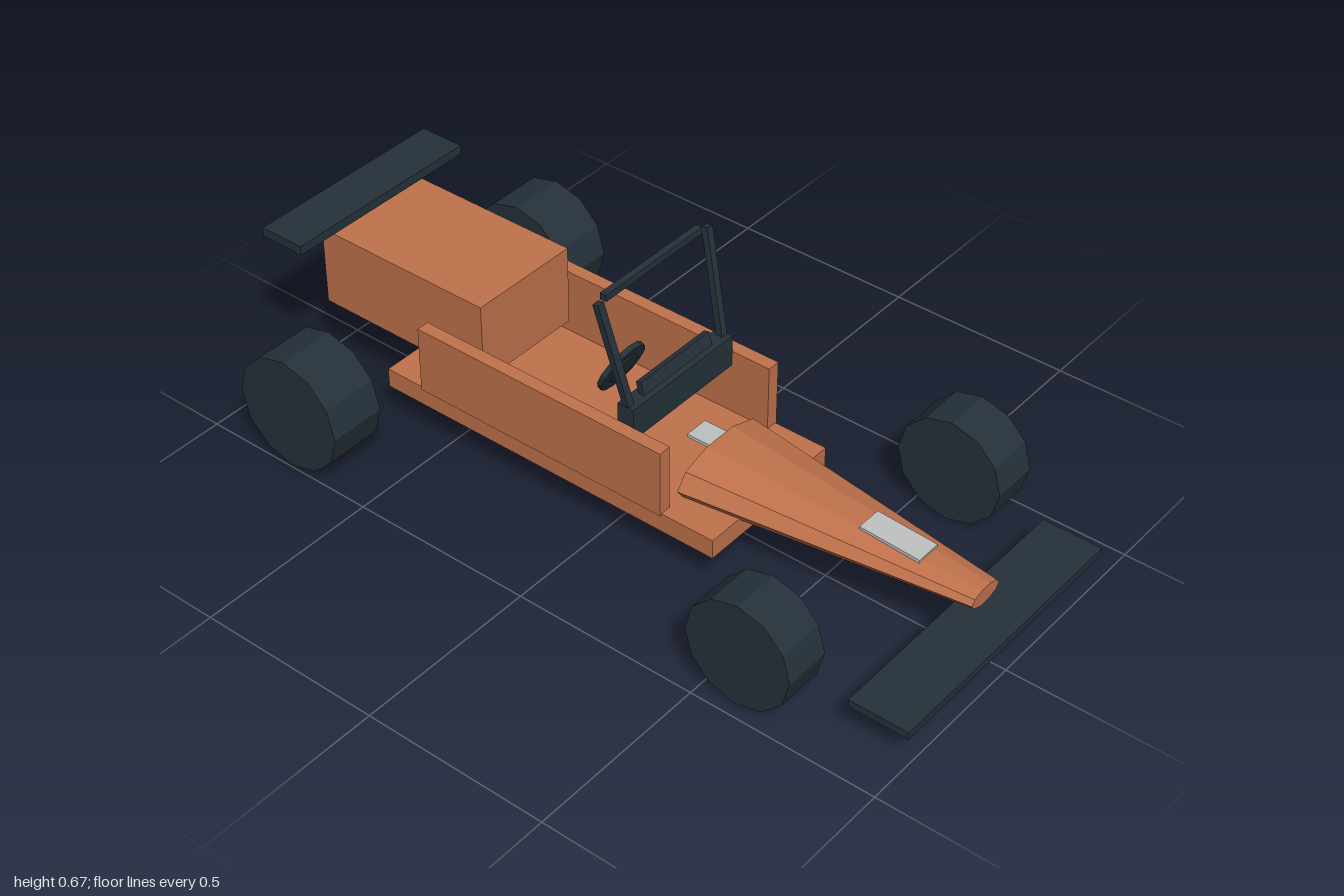
import * as THREE from 'three';

export function createModel() {
  const model = new THREE.Group();
  model.name = 'openWheelRacer';

  const paint = (name, color, flatShading = true) => {
    const m = new THREE.MeshStandardMaterial({ color, flatShading });
    m.name = name;
    return m;
  };
  const orange = paint('orange', 0xc0724c);
  const dark = paint('darkSlate', 0x25313a);
  const silver = paint('silver', 0xbfc1c1);

  const add = (name, geometry, material, x = 0, y = 0, z = 0) => {
    const mesh = new THREE.Mesh(geometry, material);
    mesh.name = name;
    mesh.position.set(x, y, z);
    model.add(mesh);
    return mesh;
  };
  // Box given by its limits on each axis
  const box = (name, material, x0, x1, y0, y1, z0, z1) =>
    add(name, new THREE.BoxGeometry(x1 - x0, y1 - y0, z1 - z0), material,
      (x0 + x1) / 2, (y0 + y1) / 2, (z0 + z1) / 2);

  // Body
  box('floor', orange, -0.215, 0.215, 0.107, 0.16, -0.675, 0.335);
  box('engineCover', orange, -0.157, 0.157, 0.217, 0.435, -0.93, -0.41);

  // Tapered ten-sided nose
  const nose = new THREE.CylinderGeometry(0.053, 0.157, 0.745, 10, 1, false, Math.PI / 2);
  nose.rotateX(Math.PI / 2).scale(1, 0.44, 1);
  add('nose', nose, orange, 0, 0.187, 0.5575);

  // Plates on top of the nose and behind it
  const nosePlate = box('nosePlate', silver, -0.035, 0.035, 0.2195, 0.2285, 0.61, 0.775);
  nosePlate.rotation.x = 0.058;
  box('cockpitPlate', silver, -0.033, 0.033, 0.236, 0.245, 0.115, 0.19);

  // Wings
  box('rearWing', dark, -0.285, 0.285, 0.45, 0.475, -1.0, -0.873);
  box('frontWing', dark, -0.383, 0.383, 0.08, 0.1, 0.84, 1.0);

  // Dashboard with a low screen on top
  box('dashboard', dark, -0.183, 0.183, 0.3, 0.387, 0.03, 0.077);
  const screen = box('lowScreen', dark, -0.125, 0.125, 0.36, 0.42, 0.044, 0.06);
  screen.rotation.x = -0.25;

  // Steering wheel with hub, its top leaning forward
  const wheel = new THREE.CylinderGeometry(0.074, 0.074, 0.014, 14).rotateX(Math.PI / 2);
  const hub = new THREE.CylinderGeometry(0.045, 0.045, 0.022, 14).rotateX(Math.PI / 2);
  for (const [name, g] of [['steeringWheel', wheel], ['steeringHub', hub]]) {
    add(name, g, dark, 0, 0.315, -0.112).rotation.x = 0.42;
  }

  // Roll hoop: two leaning posts and a crossbar
  box('hoopBar', dark, -0.172, 0.172, 0.647, 0.665, -0.027, -0.009);
  const up = new THREE.Vector3(0, 1, 0);
  for (const s of [-1, 1]) {
    const a = new THREE.Vector3(s * 0.17, 0.37, 0.057);
    const b = new THREE.Vector3(s * 0.195, 0.655, -0.013);
    const dir = b.clone().sub(a);
    const mid = a.clone().add(b).multiplyScalar(0.5);
    const post = add('hoopPost', new THREE.BoxGeometry(0.02, dir.length(), 0.018), dark, ...mid.toArray());
    post.quaternion.setFromUnitVectors(up, dir.normalize());
  }

  // Side walls and wheels, mirrored left and right
  const tyre = (name, s, r, x0, x1, y, z) =>
    add(name, new THREE.CylinderGeometry(r, r, x1 - x0, 12).rotateZ(Math.PI / 2),
      dark, s * (x0 + x1) / 2, y, z);
  for (const s of [-1, 1]) {
    add('sideWall', new THREE.BoxGeometry(0.035, 0.183, 0.745), orange, s * 0.2025, 0.2475, -0.1875);
    tyre('frontWheel', s, 0.144, 0.34, 0.467, 0.147, 0.6);
    tyre('rearWheel', s, 0.157, 0.34, 0.495, 0.157, -0.74);
  }
  return model;
}
